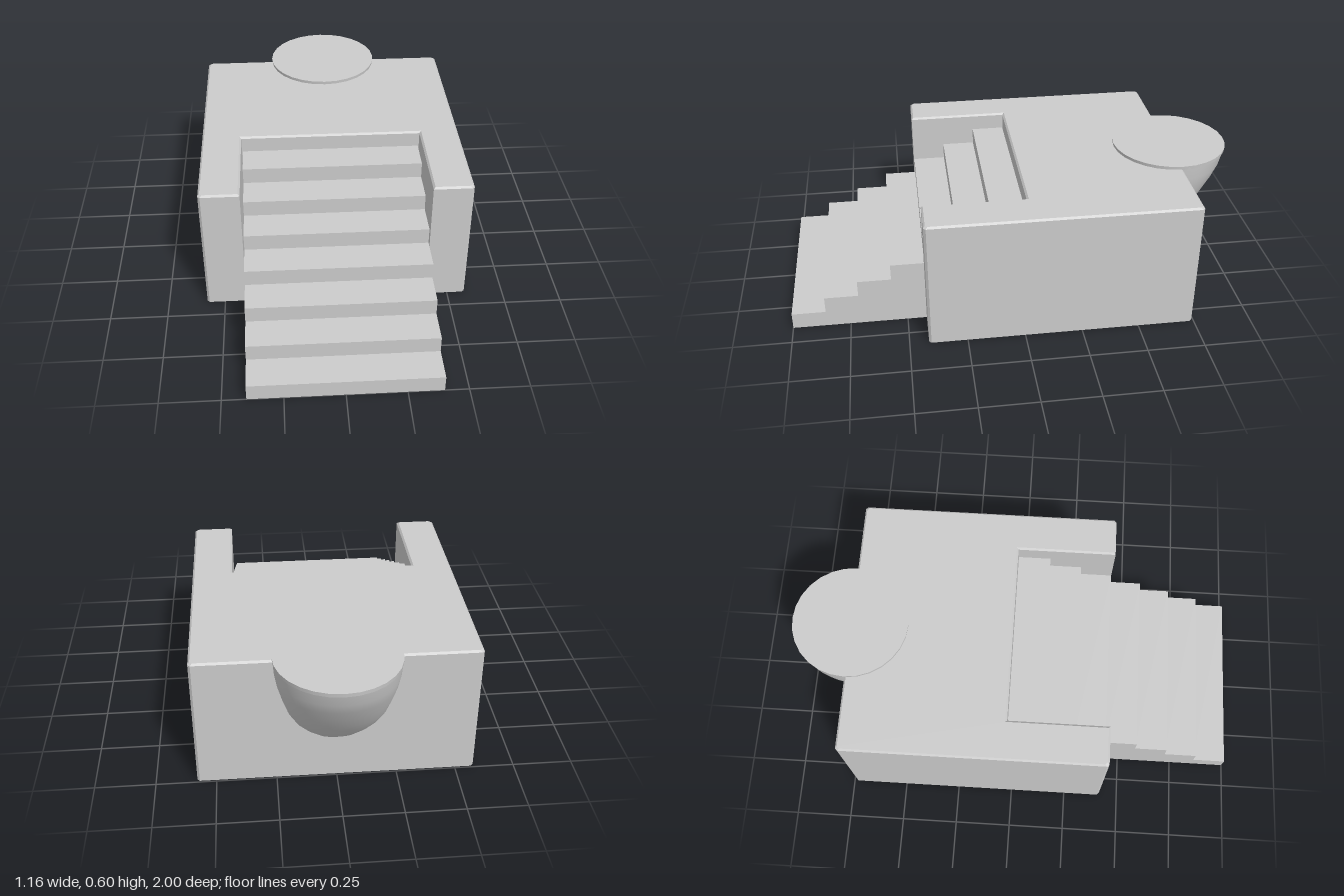
import * as THREE from 'three';

const material = new THREE.MeshStandardMaterial({ color: 0xcccccc, side: THREE.DoubleSide });

function addMesh(parent, name, geometry) {
  const mesh = new THREE.Mesh(geometry, material);
  mesh.name = name;
  parent.add(mesh);
  return mesh;
}

// Flat quads joining two matching rows of [x, y, z] points
function strip(a, b, closed) {
  const pos = [];
  const count = closed ? a.length : a.length - 1;
  for (let i = 0; i < count; i++) {
    const j = (i + 1) % a.length;
    pos.push(...a[i], ...a[j], ...b[j], ...a[i], ...b[j], ...b[i]);
  }
  const g = new THREE.BufferGeometry();
  g.setAttribute('position', new THREE.Float32BufferAttribute(pos, 3));
  g.computeVertexNormals();
  return g;
}

// U-shaped plan of the platform, with cut outer corners, shrunk by d
function outline(d) {
  const X = 0.58 - d, F = 0.417 - d, K = -0.743 + d, N = 0.405 + d, B = -0.025 - d, c = 0.01;
  return [
    [-X + c, F], [-N, F], [-N, B], [N, B], [N, F], [X - c, F], [X, F - c],
    [X, K + c], [X - c, K], [-X + c, K], [-X, K + c], [-X, F - c],
  ];
}

function buildPlatform() {
  const group = new THREE.Group();
  group.name = 'platform';
  const ring = (d, y) => outline(d).map(([x, z]) => [x, y, z]);
  // Hollow shell, open underneath
  addMesh(group, 'platformWalls', strip(ring(0, 0), ring(0, 0.577), true));
  addMesh(group, 'platformBevel', strip(ring(0, 0.577), ring(0.008, 0.585), true));
  const deck = new THREE.ShapeGeometry(
    new THREE.Shape(outline(0.008).map(([x, z]) => new THREE.Vector2(x, -z))));
  deck.rotateX(-Math.PI / 2).translate(0, 0.585, 0);
  addMesh(group, 'deck', deck);
  return group;
}

function buildStairs() {
  const group = new THREE.Group();
  group.name = 'stairs';
  const steps = 7, rise = 0.073, run = 0.1462, half = 0.4;
  // Stepped profile as [z, y] points
  const profile = [[1, 0]];
  for (let i = 0; i < steps; i++) {
    profile.push([1 - i * run, (i + 1) * rise], [1 - (i + 1) * run, (i + 1) * rise]);
  }
  const row = (x) => profile.map(([z, y]) => [x, y, z]);
  addMesh(group, 'treadsAndRisers', strip(row(half), row(-half), false));

  // Side cheeks
  const end = 1 - steps * run;
  const shape = new THREE.Shape([...profile, [end, 0]].map(([z, y]) => new THREE.Vector2(z, y)));
  for (const side of [-1, 1]) {
    const cheek = new THREE.ShapeGeometry(shape).rotateY(-Math.PI / 2).translate(side * half, 0, 0);
    addMesh(group, side > 0 ? 'leftCheek' : 'rightCheek', cheek);
  }
  // Upright panel closing the back of the stairs
  addMesh(group, 'stairBack', new THREE.PlaneGeometry(half * 2, steps * rise)
    .rotateY(Math.PI).translate(0, steps * rise / 2, end));
  return group;
}

function buildBalcony() {
  const group = new THREE.Group();
  group.name = 'balcony';
  group.position.z = -0.743;
  // Round floor
  const floor = addMesh(group, 'balconyFloor', new THREE.CylinderGeometry(0.257, 0.255, 0.017, 28));
  floor.position.y = 0.5915;

  // Half-round corbel: [half width, depth, height] of each section
  const sections = [
    [0, 0, 0.2], [0.07, 0.02, 0.211], [0.125, 0.048, 0.245], [0.165, 0.08, 0.285],
    [0.2, 0.128, 0.345], [0.222, 0.17, 0.41], [0.24, 0.21, 0.475],
    [0.25, 0.237, 0.53], [0.255, 0.255, 0.597],
  ];
  const g = new THREE.LatheGeometry(
    sections.map(([w, , y]) => new THREE.Vector2(w, y)), 28, Math.PI / 2, Math.PI);
  const p = g.attributes.position;
  for (let i = 0; i < p.count; i++) {
    const [w, d] = sections[i % sections.length];
    if (w > 0) p.setZ(i, p.getZ(i) * d / w);
  }
  g.computeVertexNormals();
  addMesh(group, 'corbel', g);
  return group;
}

export function createModel() {
  const model = new THREE.Group();
  model.name = 'steppedPlatform';
  model.add(buildPlatform(), buildStairs(), buildBalcony());
  return model;
}
